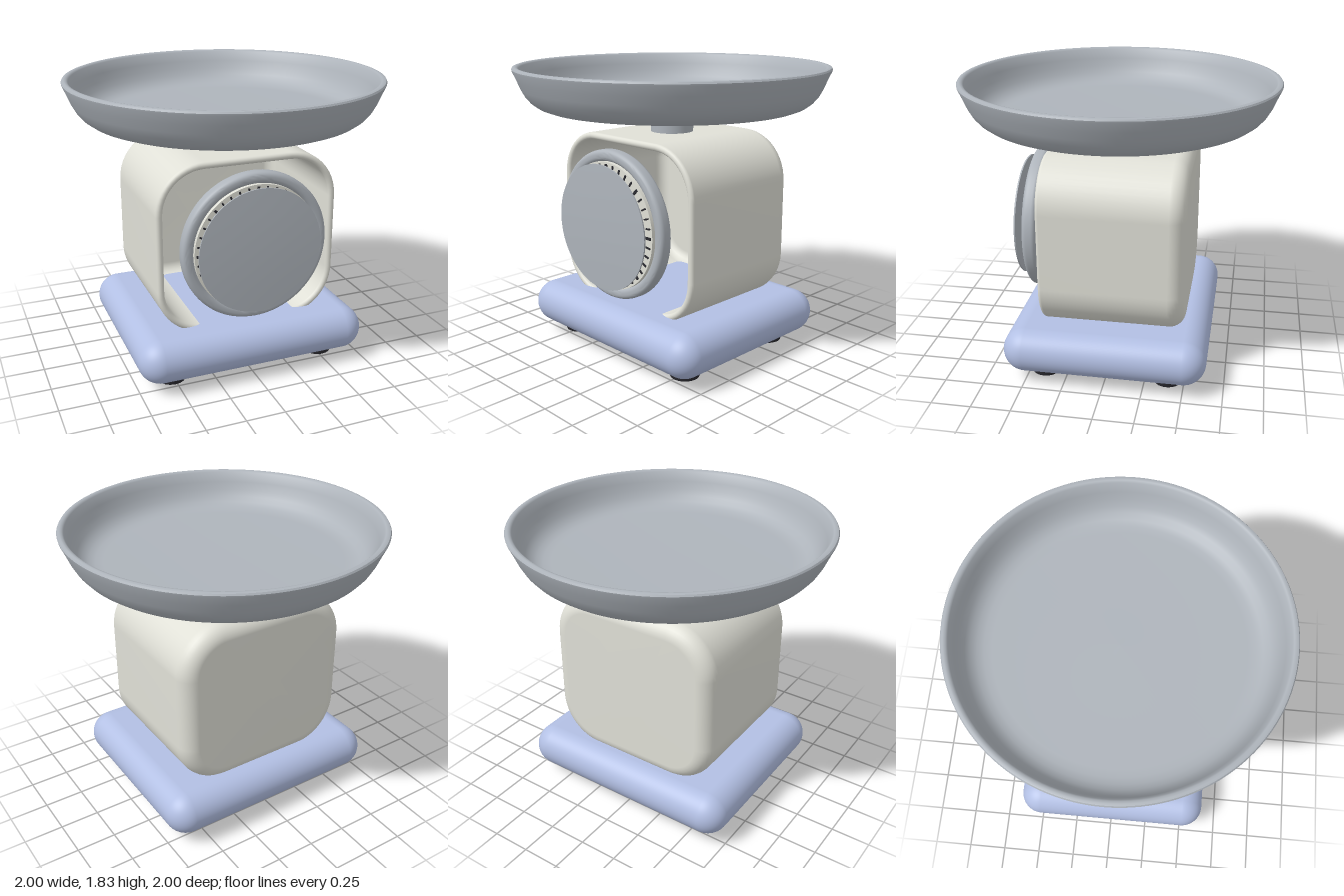
import * as THREE from 'three';
import { RoundedBoxGeometry } from 'three/addons/geometries/RoundedBoxGeometry.js';
import { toCreasedNormals } from 'three/addons/utils/BufferGeometryUtils.js';

const material = (name, color) => {
  const m = new THREE.MeshStandardMaterial({ color });
  m.name = name;
  return m;
};

// Rounded-rectangle shell lofted through [inset, z] sections; both ends are closed at the centre.
function shellGeometry(halfW, halfH, radius, sections) {
  const steps = 12, ring = 4 * (steps + 1), pos = [], index = [];
  const addRing = (inset, z, scale) => {
    const r = radius - inset;
    for (let c = 0; c < 4; c++) {
      const sx = c === 0 || c === 3 ? 1 : -1, sy = c < 2 ? 1 : -1;
      for (let i = 0; i <= steps; i++) {
        const a = (c + i / steps) * Math.PI / 2;
        pos.push(scale * (sx * (halfW - radius) + r * Math.cos(a)),
          scale * (sy * (halfH - radius) + r * Math.sin(a)), z);
      }
    }
  };
  const first = sections[0], last = sections[sections.length - 1];
  addRing(first[0], first[1], 0);
  sections.forEach(([inset, z]) => addRing(inset, z, 1));
  addRing(last[0], last[1], 0);
  for (let s = 0; s < sections.length + 1; s++) {
    for (let j = 0; j < ring; j++) {
      const k = (j + 1) % ring;
      const a = s * ring + j, b = s * ring + k, c = a + ring, d = b + ring;
      index.push(a, c, b, b, c, d);
    }
  }
  const g = new THREE.BufferGeometry();
  g.setAttribute('position', new THREE.Float32BufferAttribute(pos, 3));
  g.setIndex(index);
  g.computeVertexNormals();
  return g;
}

const lathe = (points, segments = 96) => toCreasedNormals(
  new THREE.LatheGeometry(points.map(([r, y]) => new THREE.Vector2(r, y)), segments), 0.6);

export function createModel() {
  const model = new THREE.Group();
  model.name = 'kitchenScale';
  const blue = material('base blue', 0xb2bfe3);
  const cream = material('body cream', 0xe0e0d7);
  const steel = material('steel grey', 0xaeb4bb);
  const dark = material('rubber black', 0x2a2a30);
  const navy = material('needle blue', 0x5b6a9c);

  const add = (parent, name, geometry, mat, x = 0, y = 0, z = 0) => {
    const mesh = new THREE.Mesh(geometry, mat);
    mesh.name = name;
    mesh.position.set(x, y, z);
    parent.add(mesh);
    return mesh;
  };

  // Base slab and feet
  add(model, 'base', new RoundedBoxGeometry(1.51, 0.285, 1.28, 10, 0.142), blue, 0, 0.2075, 0);
  const footShape = [[0, 0], [0.08, 0], [0.09, 0.005], [0.095, 0.018], [0.095, 0.09], [0, 0.09]];
  for (const x of [-0.515, 0.515]) {
    for (const z of [-0.395, 0.395]) add(model, 'foot', lathe(footShape, 32), dark, x, 0, z);
  }

  // Hollow body, open at the front with a rounded lip
  const wall = 0.045, front = 0.42, back = -0.485, sections = [];
  const arc = (n, fn) => {
    for (let i = 0; i <= n; i++) fn(i / n * Math.PI / 2);
  };
  arc(6, a => sections.push([wall + 0.07 * (1 - Math.sin(a)), back + wall + 0.07 * (1 - Math.cos(a))]));
  for (let i = 0; i <= 8; i++) {
    const a = i / 8 * Math.PI;
    sections.push([wall / 2 * (1 + Math.cos(a)), front - wall / 2 + wall / 2 * Math.sin(a)]);
  }
  arc(8, a => sections.push([0.1 * (1 - Math.cos(a)), back + 0.1 * (1 - Math.sin(a))]));
  add(model, 'body', shellGeometry(0.592, 0.554, 0.31, sections), cream, 0, 0.856, 0);

  // Stem and weighing pan
  add(model, 'stem', new THREE.CylinderGeometry(0.137, 0.137, 0.21, 48), steel, 0, 1.485, 0);
  add(model, 'pan', lathe([
    [0, 1.565], [0.76, 1.565], [0.81, 1.571], [0.855, 1.588], [0.895, 1.617], [0.925, 1.652],
    [0.95, 1.697], [0.972, 1.75], [0.998, 1.808], [1, 1.818], [0.994, 1.828], [0.982, 1.832],
    [0.968, 1.83], [0.957, 1.82], [0.935, 1.757], [0.915, 1.708], [0.892, 1.666], [0.865, 1.635],
    [0.83, 1.613], [0.79, 1.602], [0.74, 1.6], [0, 1.6]], 128), steel);

  // Dial assembly: local y points to the front
  const dial = new THREE.Group();
  dial.name = 'dial';
  dial.position.set(0, 0.88, 0);
  dial.rotation.x = Math.PI / 2;
  model.add(dial);
  const bezel = [];
  for (const [r, y, start] of [[0.442, 0.484, -1], [0.442, 0.517, 0], [0.428, 0.517, 1], [0.428, 0.484, 2]]) {
    arc(5, a => bezel.push([r + 0.029 * Math.cos(a + start * Math.PI / 2),
      y + 0.029 * Math.sin(a + start * Math.PI / 2)]));
  }
  bezel.push(bezel[0]);
  add(dial, 'bezel', lathe(bezel), steel);
  add(dial, 'dialFace', new THREE.CylinderGeometry(0.402, 0.402, 0.075, 96), cream, 0, 0.5175, 0);
  add(dial, 'dialGlass', lathe([[0, 0.594], [0.25, 0.596], [0.395, 0.603], [0.395, 0.612],
    [0.25, 0.619], [0, 0.622]]), steel);

  // Graduation marks, every fifth one longer
  for (let i = 0; i < 40; i++) {
    const len = i % 5 ? 0.035 : 0.065, r = 0.39 - len / 2, a = i / 40 * Math.PI * 2;
    const tick = add(dial, 'tick', new THREE.BoxGeometry(i % 5 ? 0.01 : 0.016, 0.008, len), dark,
      r * Math.sin(a), 0.558, -r * Math.cos(a));
    tick.rotation.y = -a;
  }

  // Needle and hub
  add(dial, 'needle', new THREE.BoxGeometry(0.022, 0.014, 0.25), navy, 0, 0.575, -0.105);
  add(dial, 'hub', new THREE.CylinderGeometry(0.035, 0.035, 0.035, 32), navy, 0, 0.572, 0);
  return model;
}
